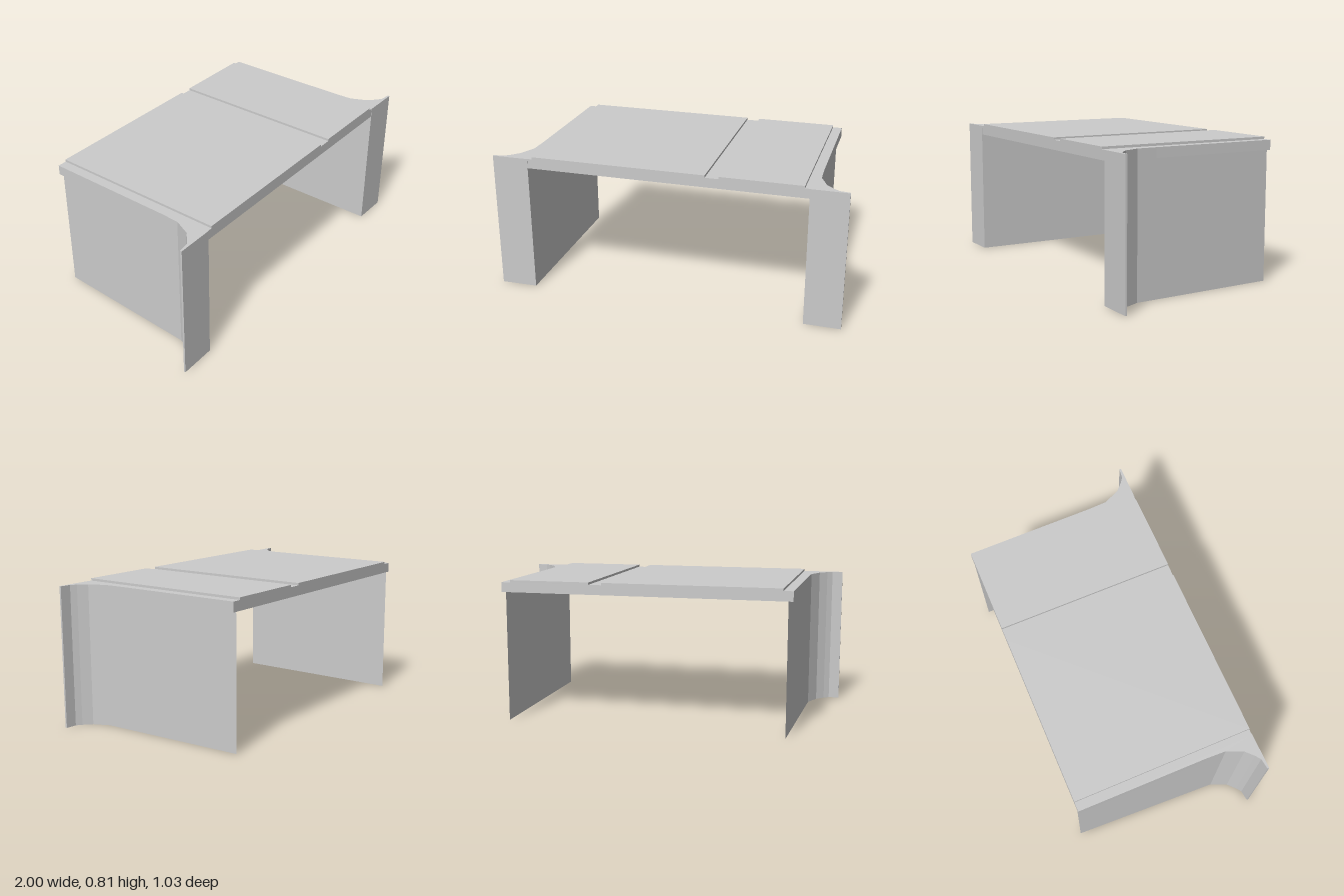
import * as THREE from 'three';

const material = new THREE.MeshStandardMaterial({ color: 0xcccccc, flatShading: true });

// Upright prism from a plan outline of [x, z] points, between two heights
function prism(name, plan, bottom, top) {
  const shape = new THREE.Shape(plan.map(([x, z]) => new THREE.Vector2(x, -z)));
  const geometry = new THREE.ExtrudeGeometry(shape, { depth: top - bottom, bevelEnabled: false });
  geometry.rotateX(-Math.PI / 2).translate(0, bottom, 0);
  const mesh = new THREE.Mesh(geometry, material);
  mesh.name = name;
  return mesh;
}

const mirror = (plan) => plan.map(([x, z]) => [-x, z]);

export function createModel() {
  const group = new THREE.Group();
  group.name = 'flaredTable';

  // Side walls taper to a thin rear edge and flare outwards at the front
  const wall = [
    [0.792, -0.513], [0.792, 0.51], [1, 0.512], [1, 0.502],
    [0.94, 0.494], [0.91, 0.472], [0.867, 0.43], [0.826, 0.338],
  ];
  group.add(prism('leftWall', wall, 0, 0.795));
  group.add(prism('rightWall', mirror(wall), 0, 0.795));

  // Top slab slightly overhangs the rear of the walls
  const edge = [[0.818, -0.515], [0.822, 0.338], [0.8, 0.508]];
  const slab = [...edge, ...mirror(edge).reverse()];
  group.add(prism('topSlab', slab, 0.74, 0.795));

  // Two raised panels separated by a shallow groove
  for (const [name, x0, x1] of [['widePanel', -0.765, 0.23], ['narrowPanel', 0.305, 0.765]]) {
    const plan = [[x0, -0.515], [x1, -0.515], [x1, 0.508], [x0, 0.508]];
    group.add(prism(name, plan, 0.795, 0.808));
  }
  return group;
}
